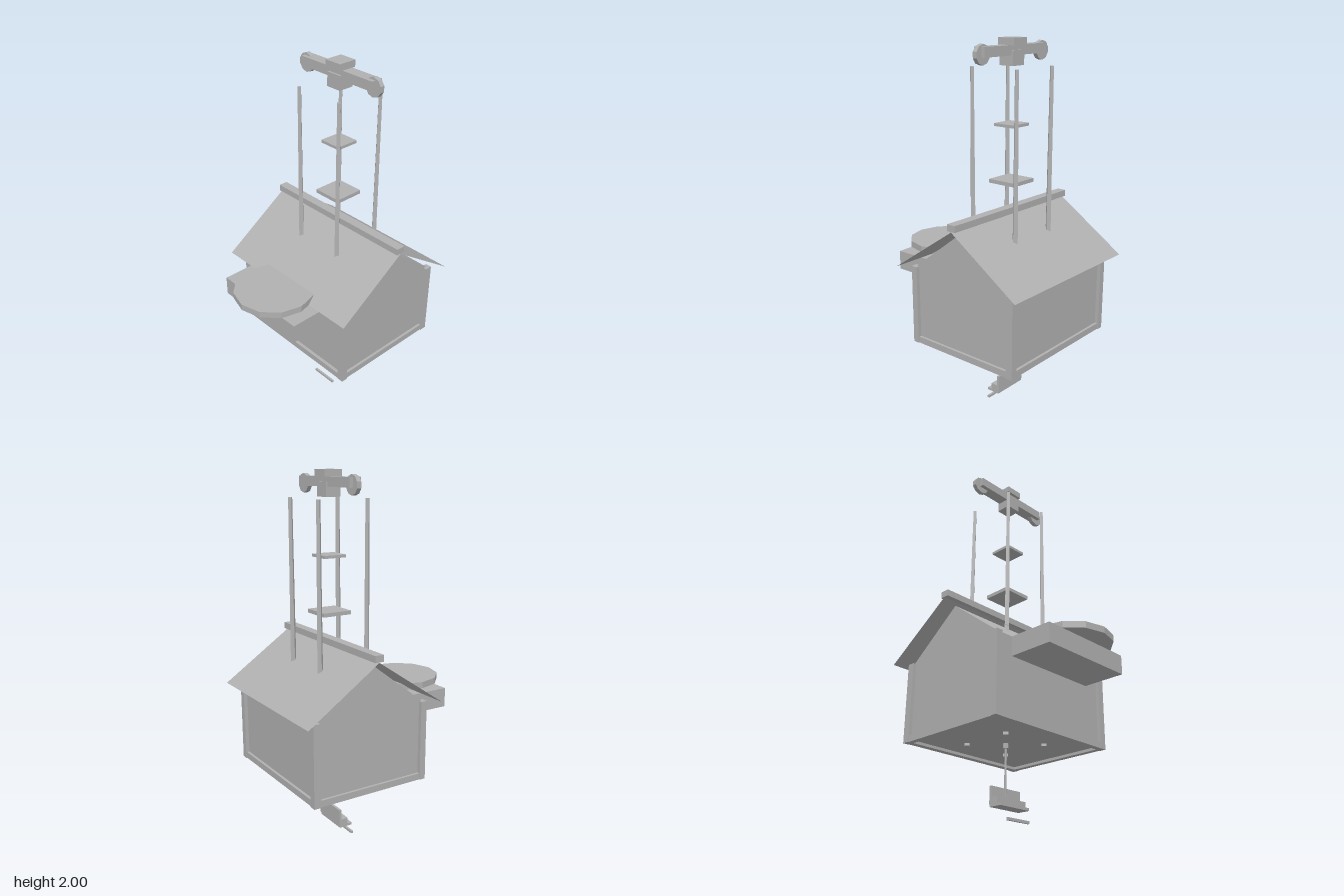
import * as THREE from 'three';

export function createModel() {
  const model = new THREE.Group();
  const grey = new THREE.MeshStandardMaterial({ color: 0xb0b0b0, flatShading: true });
  grey.name = 'plain grey';
  const sheet = new THREE.MeshStandardMaterial({ color: 0xb0b0b0, side: THREE.DoubleSide, flatShading: true });
  sheet.name = 'plain grey sheet';
  const midZ = -0.14;

  const add = (name, geometry, material = grey) => {
    const mesh = new THREE.Mesh(geometry, material);
    mesh.name = name;
    model.add(mesh);
    return mesh;
  };
  // Box given by its limits on each axis
  const box = (name, x0, x1, y0, y1, z0, z1) =>
    add(name, new THREE.BoxGeometry(x1 - x0, y1 - y0, z1 - z0))
      .position.set((x0 + x1) / 2, (y0 + y1) / 2, (z0 + z1) / 2);

  // House body: gabled section extruded along x
  const section = new THREE.Shape([
    [-0.18, 0.415], [0.46, 0.415], [0.46, 0.835], [0.14, 1.08], [-0.18, 0.835],
  ].map(([x, y]) => new THREE.Vector2(x, y)));
  const body = new THREE.ExtrudeGeometry(section, { depth: 0.77, bevelEnabled: false });
  body.translate(0, 0, -0.385).rotateY(Math.PI / 2);
  add('houseBody', body);

  // Corner posts and bottom rails
  for (const s of [-1, 1]) {
    const [a, b] = s < 0 ? [-0.405, -0.368] : [0.368, 0.405];
    box('cornerPost', a, b, 0.4, 0.835, 0.165, 0.2);
    box('cornerPost', a, b, 0.4, 0.835, -0.48, -0.44);
    box('sideRail', s < 0 ? -0.4 : 0.37, s < 0 ? -0.37 : 0.4, 0.4, 0.435, -0.472, 0.2);
  }
  box('frontRail', -0.4, 0.4, 0.4, 0.435, 0.165, 0.198);
  box('backRail', -0.4, 0.4, 0.4, 0.435, -0.475, -0.44);

  // Thin roof slopes and ridge cap
  const rise = 0.268, run = 0.397;
  for (const s of [-1, 1]) {
    const slope = add('roofSlope', new THREE.PlaneGeometry(0.922, Math.hypot(rise, run)), sheet);
    slope.position.set(0, 0.835 + rise / 2, -0.142 + s * run / 2);
    slope.rotation.x = -s * Math.atan2(run, rise);
    if (s < 0) slope.rotation.set(Math.atan2(run, rise), Math.PI, 0);
  }
  box('ridgeCap', -0.461, 0.461, 1.105, 1.14, -0.167, -0.116);

  // Front balcony with a twelve-sided platform
  box('balcony', -0.283, 0.281, 0.73, 0.835, 0.17, 0.425);
  add('roundPlatform', new THREE.CylinderGeometry(0.218, 0.218, 0.035, 12)).position.set(0, 0.8525, 0.318);

  // Four tapered square poles
  for (const x of [-0.141, 0.141])
    for (const z of [0, -0.284])
      add('pole', new THREE.CylinderGeometry(0.012, 0.0195, 1.46, 4)).position.set(x, 1.13, z);

  // Floating shelves
  box('lowerShelf', -0.082, 0.082, 1.267, 1.287, -0.224, -0.06);
  box('upperShelf', -0.063, 0.063, 1.562, 1.577, -0.205, -0.077);

  // Top beam, hub and end pulleys
  box('topBeam', -0.245, 0.245, 1.915, 1.965, -0.173, -0.108);
  box('hub', -0.044, 0.044, 1.865, 1.94, -0.183, -0.097);
  box('hubCap', -0.05, 0.05, 1.964, 2, -0.193, -0.091);
  for (const x of [-0.233, 0.233]) {
    const wheel = new THREE.CylinderGeometry(0.05, 0.05, 0.024, 10);
    wheel.rotateX(-Math.PI / 2);
    add('pulley', wheel).position.set(x, 1.928, -0.142);
  }

  // Hanging seat with footrest
  add('hangingRod', new THREE.CylinderGeometry(0.006, 0.006, 0.29, 8)).position.set(0, 0.28, midZ);
  add('rodCollar', new THREE.CylinderGeometry(0.015, 0.015, 0.028, 8)).position.set(0, 0.403, midZ);
  box('seatBack', -0.102, 0.102, 0.085, 0.178, -0.149, -0.135);
  box('seat', -0.102, 0.102, 0.084, 0.12, -0.145, -0.095);
  box('seatLip', -0.102, 0.102, 0.072, 0.086, -0.145, -0.07);
  box('footrest', -0.075, 0.075, 0, 0.014, -0.055, -0.043);

  return model;
}
